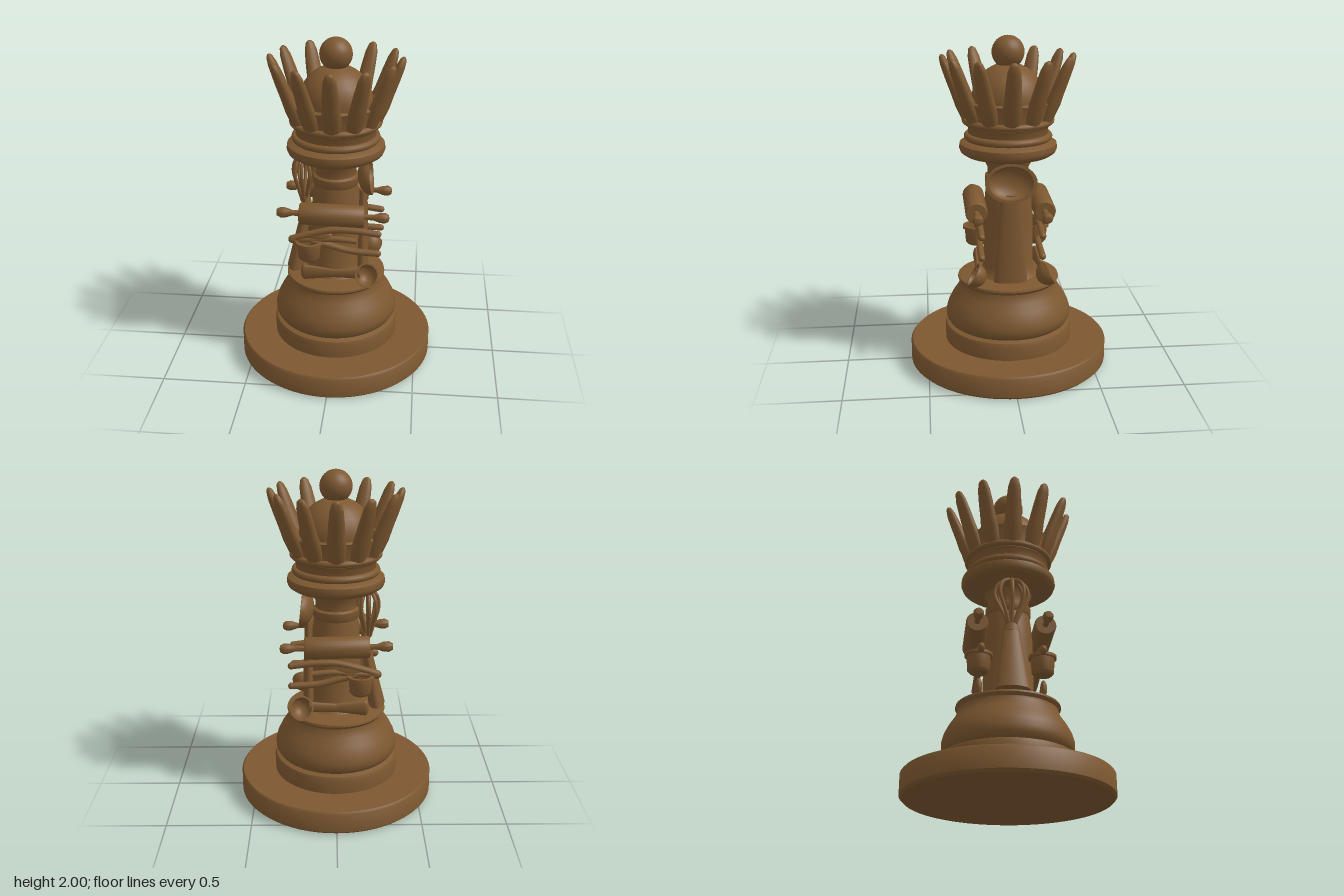
import * as THREE from 'three';
import { toCreasedNormals } from 'three/addons/utils/BufferGeometryUtils.js';

const V = (x, y, z) => new THREE.Vector3(x, y, z);

export function createModel() {
  const model = new THREE.Group();
  model.name = 'chessPiece';
  const wood = new THREE.MeshStandardMaterial({ color: 0x7d5830 });
  wood.name = 'brown wood';

  const add = (name, geo, pos = V(0, 0, 0), parent = model) => {
    const m = new THREE.Mesh(geo, wood);
    m.name = name;
    m.position.copy(pos);
    parent.add(m);
    return m;
  };
  const lathe = (pts, seg = 64) => toCreasedNormals(
    new THREE.LatheGeometry(pts.map(p => new THREE.Vector2(p[0], p[1])), seg), 0.7);
  // tapered rod from a to b, flattened across its local x or z
  const rod = (name, a, b, ra, rb, sx = 1, sz = 1) => {
    const d = b.clone().sub(a);
    const g = new THREE.CylinderGeometry(rb, ra, d.length(), 24).scale(sx, 1, sz);
    const m = add(name, g, a.clone().add(b).multiplyScalar(0.5));
    m.quaternion.setFromUnitVectors(V(0, 1, 0), d.normalize());
    return m;
  };
  const ball = (name, p, r, sx = 1, sy = 1, sz = 1) =>
    add(name, new THREE.SphereGeometry(r, 24, 16).scale(sx, sy, sz), p);
  const tube = (name, pts, r, closed = false) => add(name,
    new THREE.TubeGeometry(new THREE.CatmullRomCurve3(pts, closed), 40, r, 10, closed));
  // open hollow bowl of unit radius, rim at y = 0
  const bowlGeo = () => {
    const pts = [];
    for (let i = 0; i <= 10; i++) { const a = i / 10 * Math.PI / 2; pts.push([Math.sin(a), -Math.cos(a)]); }
    for (let i = 10; i >= 0; i--) { const a = i / 10 * Math.PI / 2; pts.push([0.86 * Math.sin(a), -0.8 * Math.cos(a)]); }
    return lathe(pts, 32);
  };

  // round pedestal
  const foot = add('base', lathe([[0, 0], [0.575, 0], [0.59, 0.015], [0.59, 0.13], [0.58, 0.142], [0, 0.142]], 96));
  const plinth = add('pedestal', lathe([
    [0, 0.14], [0.378, 0.14], [0.38, 0.225], [0.372, 0.247], [0.345, 0.257], [0.355, 0.265], [0.37, 0.29],
    [0.372, 0.325], [0.36, 0.37], [0.335, 0.42], [0.305, 0.465], [0.287, 0.505], [0.286, 0.52],
    [0.3, 0.538], [0.297, 0.55], [0.27, 0.556], [0, 0.57]], 80));
  foot.scale.z = plinth.scale.z = 1.025;

  // column flaring into the collar
  add('column', lathe([
    [0, 0.54], [0.2, 0.545], [0.165, 0.575], [0.15, 0.62], [0.147, 0.95], [0.138, 1.06], [0.13, 1.125],
    [0.137, 1.135], [0.137, 1.18], [0.122, 1.19], [0.122, 1.23], [0.145, 1.275], [0.2, 1.297], [0.255, 1.31],
    [0.28, 1.327], [0.289, 1.35], [0.285, 1.378], [0.26, 1.393], [0.225, 1.4], [0, 1.4]]));

  // crown wall with an open rim
  add('crownWall', lathe([
    [0, 1.39], [0.235, 1.39], [0.235, 1.47], [0.25, 1.49], [0.245, 1.53], [0.278, 1.63],
    [0.262, 1.64], [0.23, 1.63], [0.21, 1.55], [0, 1.55]]));
  for (const [r, y, t] of [[0.238, 1.418, 0.022], [0.252, 1.512, 0.019]]) {
    const ring = add('crownRing', new THREE.TorusGeometry(r, t, 12, 72), V(0, y, 0));
    ring.rotation.x = Math.PI / 2;
  }
  // twelve leaning petals
  const petal = lathe([[0, 0], [0.05, 0], [0.057, 0.09], [0.05, 0.16], [0.045, 0.26], [0.038, 0.34],
    [0.025, 0.385], [0.01, 0.398], [0, 0.4]], 20).scale(1, 1, 0.7);
  for (let i = 0; i < 12; i++) {
    const spoke = new THREE.Group();
    spoke.name = 'crownPetal';
    spoke.rotation.y = i * Math.PI / 6;
    model.add(spoke);
    const p = add('petal', petal, V(0, 1.525, 0.235), spoke);
    p.rotation.x = 0.385;
  }
  ball('dome', V(0, 1.63, 0), 0.214);
  ball('finial', V(0, 1.905, 0), 0.095);

  // utensils on the front and the back
  for (const s of [1, -1]) {
    // rolling pin
    const zp = 0.2 * s;
    const pin = add('rollingPin', lathe([
      [0, -0.33], [0.02, -0.328], [0.031, -0.305], [0.029, -0.275], [0.016, -0.235], [0.018, -0.195],
      [0.058, -0.195], [0.065, -0.185], [0.065, 0.175], [0.058, 0.185], [0.018, 0.185],
      [0.016, 0.235], [0.029, 0.275], [0.031, 0.305], [0.02, 0.325], [0, 0.33]], 28), V(0, 1.0, zp));
    pin.rotation.z = -Math.PI / 2 - 0.02;

    // two long prongs and a short middle one on a wide handle
    const z = 0.178 * s;
    tube('forkTopProng', [V(-0.25, 0.825, z), V(-0.14, 0.86, z), V(0, 0.893, z), V(0.14, 0.892, z), V(0.265, 0.877, z)], 0.02);
    tube('forkMiddleProng', [V(-0.25, 0.82, z), V(-0.1, 0.828, z), V(0.02, 0.835, z), V(0.14, 0.825, z)], 0.018);
    tube('forkLowerProng', [V(-0.13, 0.82, z), V(-0.03, 0.795, z), V(0.1, 0.762, z), V(0.265, 0.75, z)], 0.02);
    ball('prongTip', V(0.265, 0.877, z), 0.02);
    ball('prongTip', V(0.265, 0.75, z), 0.02);
    ball('forkHandleEnd', V(-0.235, 0.822, z), 0.03, 1.1, 0.9, 0.7);
    ball('forkNeck', V(-0.08, 0.845, z), 0.05, 1.6, 0.8, 0.35);

    // measuring cup
    add('measuringCup', lathe([[0, 0.7], [0.05, 0.7], [0.064, 0.715], [0.07, 0.8], [0.082, 0.803], [0.082, 0.82],
      [0.062, 0.82], [0.057, 0.73], [0, 0.73]], 32), V(-0.143, 0, 0.186 * s));

    // ladle with a flared handle
    const ladle = add('ladleBowl', bowlGeo(), V(0.205, 0.625, 0.225 * s));
    ladle.scale.set(0.07, 0.08, 0.075);
    ladle.rotation.x = 1.05 * s;
    rod('ladleHandle', V(-0.17, 0.61, 0.185 * s), V(0.0, 0.612, 0.19 * s), 0.05, 0.027, 1, 0.4);
    rod('ladleNeck', V(0.0, 0.612, 0.19 * s), V(0.16, 0.62, 0.195 * s), 0.027, 0.034, 1, 0.5);
    ball('ladleHandleEnd', V(-0.17, 0.61, 0.185 * s), 0.05, 0.5, 1, 0.4);
  }

  // big spoon on the left side
  const spoon = add('spoonBowl', bowlGeo(), V(0.21, 1.18, 0));
  spoon.rotation.z = -Math.PI / 2 + 0.12;
  spoon.scale.set(0.115, 0.08, 0.152);
  rod('spoonHandle', V(0.165, 0.56, 0), V(0.165, 1.1, 0), 0.1, 0.06, 0.38, 1);

  // whisk on the right side
  rod('whiskHandle', V(-0.25, 0.565, 0), V(-0.175, 0.97, 0), 0.1, 0.05, 0.5, 1);
  rod('whiskCollar', V(-0.175, 0.96, 0), V(-0.178, 1.03, 0), 0.052, 0.035, 0.6, 1);
  for (let i = 0; i < 4; i++) {
    const a = i * Math.PI / 4, c = Math.cos(a) * 0.062, w = Math.sin(a) * 0.1;
    const at = (k, y) => V(-0.192 + k * c, y, k * w);
    tube('whiskWire', [at(-0.2, 1.0), at(-0.55, 1.08), at(-1, 1.19), at(-0.75, 1.26), at(0, 1.29),
      at(0.75, 1.26), at(1, 1.19), at(0.55, 1.08), at(0.2, 1.0)], 0.011);
  }
  return model;
}
